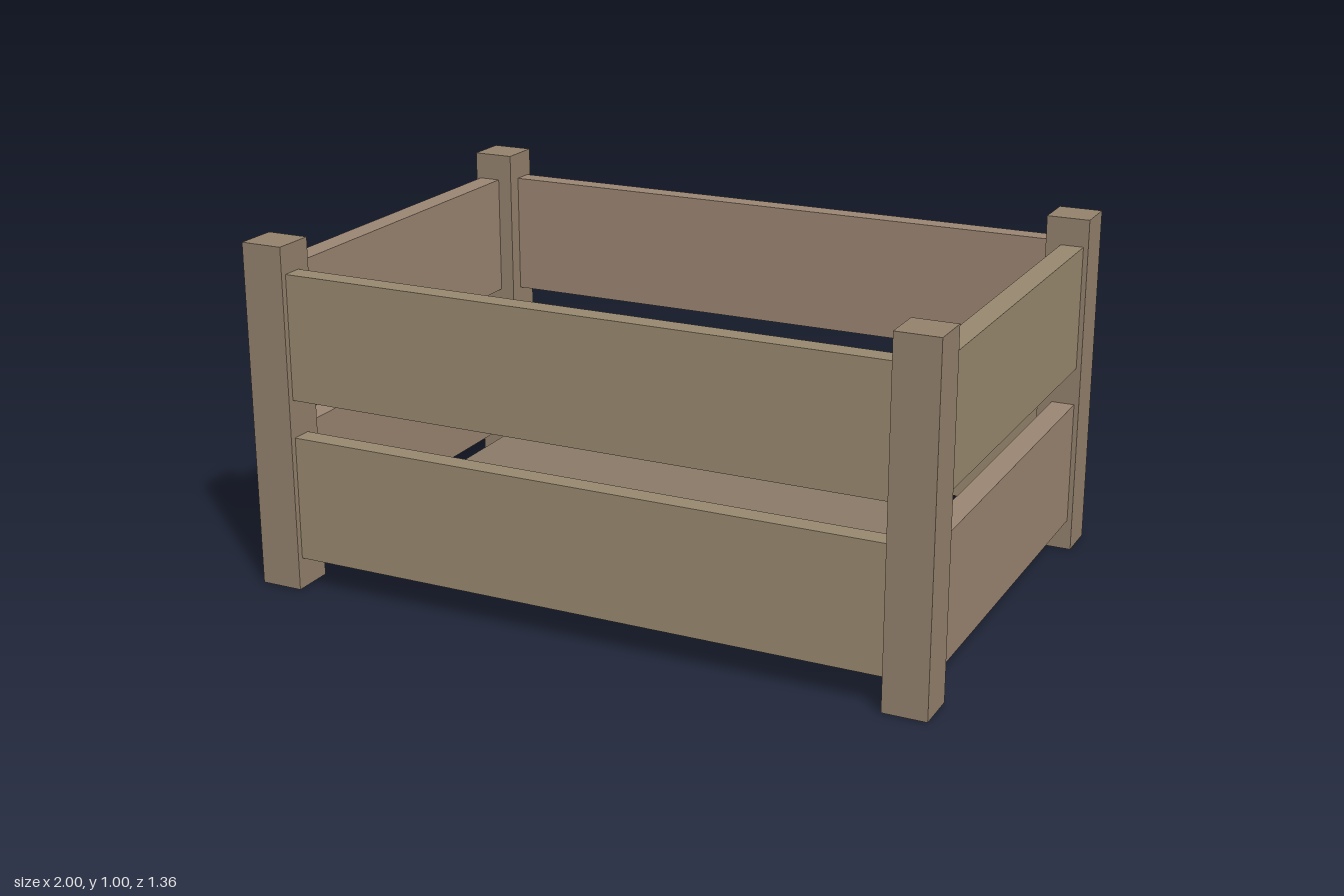
import * as THREE from 'three';

const wood = (color) => new THREE.MeshStandardMaterial({ color, flatShading: true });
const postWood = wood(0x93816c);
const oliveWood = wood(0x98896f);
const rosyWood = wood(0x9b8572);
const floorWood = wood(0x8b7a68);
floorWood.side = THREE.DoubleSide;

function addBox(group, name, material, size, position) {
  const mesh = new THREE.Mesh(new THREE.BoxGeometry(...size), material);
  mesh.name = name;
  mesh.position.set(...position);
  group.add(mesh);
}

export function createModel() {
  const crate = new THREE.Group();
  crate.name = 'crate';

  const halfX = 1, halfZ = 0.678, post = 0.124, height = 1;
  const innerX = halfX - post, innerZ = halfZ - post;
  const plankHeight = 0.36;

  // Square corner posts
  for (const [sx, xName] of [[1, 'Left'], [-1, 'Right']]) {
    for (const [sz, zName] of [[1, 'front'], [-1, 'back']]) {
      addBox(crate, `${zName}${xName}Post`, postWood, [post, height, post],
        [sx * (halfX - post / 2), height / 2, sz * (halfZ - post / 2)]);
    }
  }

  // Two planks on each side, lower then upper
  const rows = [['lower', 0.27], ['upper', 0.74]];
  const woods = {
    front: [oliveWood, oliveWood],
    back: [oliveWood, rosyWood],
    left: [rosyWood, oliveWood],
    right: [rosyWood, rosyWood],
  };
  rows.forEach(([row, y], i) => {
    for (const [side, z] of [['front', 0.63], ['back', -0.63]]) {
      addBox(crate, `${side}Plank_${row}`, woods[side][i], [innerX * 2, plankHeight, 0.06], [0, y, z]);
    }
    for (const [side, x] of [['left', 0.953], ['right', -0.953]]) {
      addBox(crate, `${side}Plank_${row}`, woods[side][i], [0.066, plankHeight, innerZ * 2], [x, y, 0]);
    }
  });

  // Thin floor sheet, level with the bottom of the lower planks
  const floor = new THREE.Mesh(new THREE.PlaneGeometry(innerX * 2, innerZ * 2), floorWood);
  floor.name = 'floor';
  floor.rotation.x = -Math.PI / 2;
  floor.position.y = 0.09;
  crate.add(floor);

  return crate;
}
